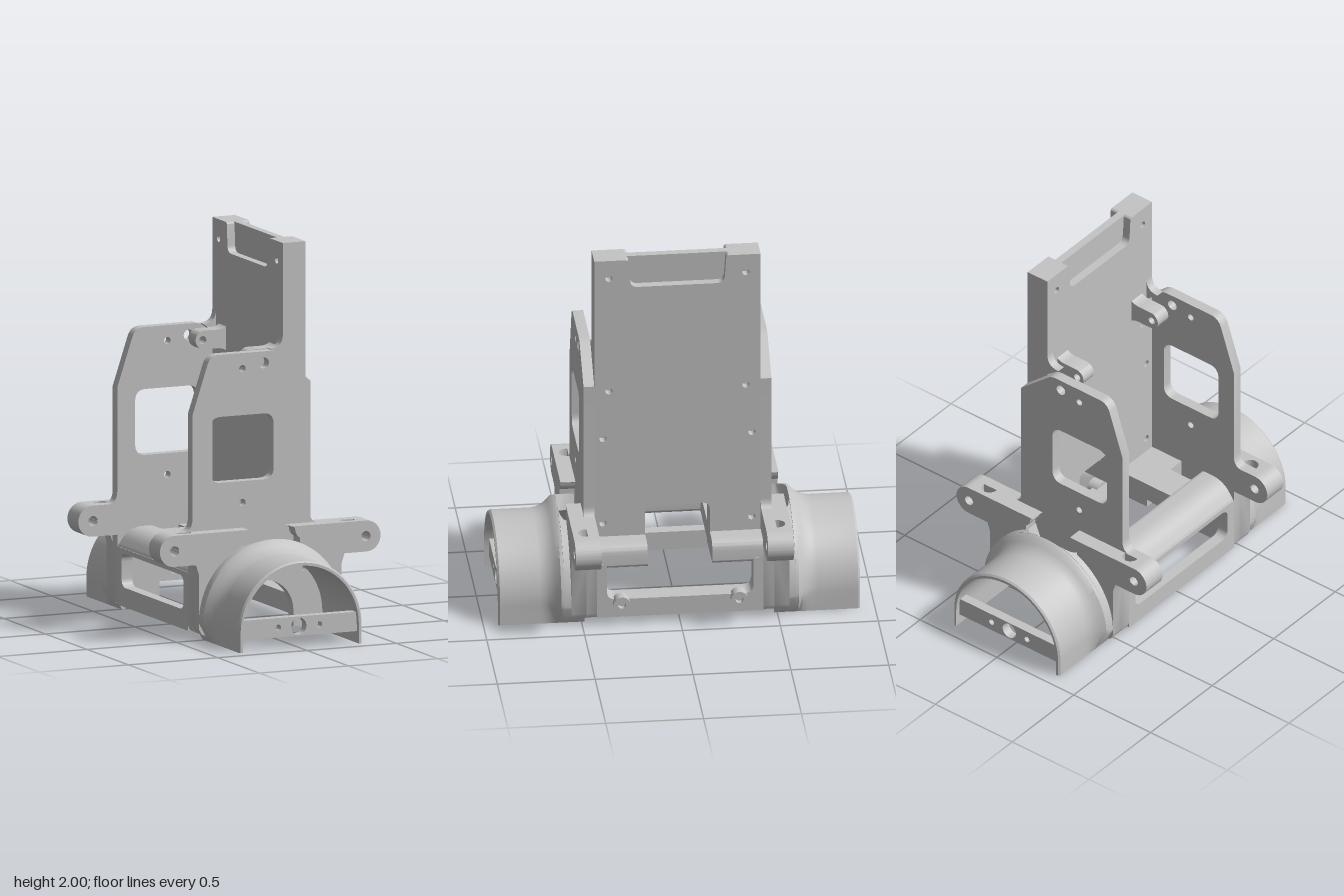
import * as THREE from 'three';
import { toCreasedNormals } from 'three/addons/utils/BufferGeometryUtils.js';

const grey = new THREE.MeshStandardMaterial({ color: 0xc4c4c4 });
grey.name = 'light grey';

// Polygon from [x, y, cornerRadius] points
function poly(pts, Kind = THREE.Shape) {
  const s = new Kind(), n = pts.length;
  pts.forEach(([x, y, r = 0], i) => {
    const toward = ([px, py]) => {
      const d = Math.hypot(px - x, py - y);
      return [x + (px - x) * r / d, y + (py - y) * r / d];
    };
    const a = toward(pts[(i + n - 1) % n]), b = toward(pts[(i + 1) % n]);
    if (i) s.lineTo(...a); else s.moveTo(...a);
    if (r) s.quadraticCurveTo(x, y, ...b);
  });
  s.closePath();
  return s;
}
const rect = (x0, y0, x1, y1, r, Kind) =>
  poly([[x0, y0, r], [x1, y0, r], [x1, y1, r], [x0, y1, r]], Kind);
const hole = (x, y, r) => new THREE.Path().absarc(x, y, r, 0, Math.PI * 2, false);
const withHoles = (s, ...h) => { s.holes.push(...h); return s; };

// Extrusions along z, along x (shape u = -z) and along y (shape v = z)
const alongZ = (s, a, b) =>
  new THREE.ExtrudeGeometry(s, { depth: b - a, bevelEnabled: false, curveSegments: 20 }).translate(0, 0, a);
const alongX = (s, a, b) => alongZ(s, a, b).rotateY(Math.PI / 2);
const alongY = (s, a, b) => alongZ(s, -b, -a).rotateX(Math.PI / 2);

// Mirrored copy with the winding put right
function mirrored(geo, axis) {
  const g = geo.index ? geo.toNonIndexed() : geo.clone();
  g.scale(axis === 'x' ? -1 : 1, 1, axis === 'z' ? -1 : 1);
  const p = g.attributes.position, b = new THREE.Vector3(), c = new THREE.Vector3();
  for (let i = 0; i < p.count; i += 3) {
    b.fromBufferAttribute(p, i + 1); c.fromBufferAttribute(p, i + 2);
    p.setXYZ(i + 1, c.x, c.y, c.z); p.setXYZ(i + 2, b.x, b.y, b.z);
  }
  return g;
}

// Thick arch shell through [z, rx, ry, startAngle] sections; angles run from the crown
const INNER = 0.325, LEG = 2, QUARTER = Math.PI / 2;
const sweep = (a, b, n) => Array.from({ length: n + 1 }, (_, i) => a + (b - a) * i / n);
const arch = (rx, ry, f) => Math.abs(f) > 1.6
  ? [Math.sign(f) * Math.min(rx, 0.345), 0] : [rx * Math.sin(f), 0.1 + ry * Math.cos(f)];
function archShell(sections) {
  const pos = [], idx = [], rings = [];
  for (const [z, rx, ry, start = -QUARTER] of sections) {
    const angles = [...sweep(start, QUARTER, 40), LEG];
    if (start === -QUARTER) angles.unshift(-LEG);
    for (const f of angles) pos.push(...arch(rx, ry, f), z);
    for (const f of [...angles].reverse()) pos.push(...arch(INNER, INNER, f), z);
    rings.push(angles.length);
  }
  const m = rings[0], n = m * 2, last = (sections.length - 1) * n;
  for (let s = 0; s < last; s += n) {
    for (let k = 0; k < n; k++) {
      const a = s + k, b = s + (k + 1) % n;
      idx.push(a, a + n, b, b, a + n, b + n);
    }
  }
  for (let o = 0; o < m - 1; o++) {
    const p = o + 1, i = n - 1 - o, j = n - 2 - o;
    idx.push(last + o, last + i, last + j, last + o, last + j, last + p);
    idx.push(o, j, i, o, p, j);
  }
  const g = new THREE.BufferGeometry();
  g.setAttribute('position', new THREE.Float32BufferAttribute(pos, 3));
  g.setIndex(idx);
  return g;
}

export function createModel() {
  const model = new THREE.Group();
  model.name = 'motorMountFrame';
  // Adds a part and its mirror images across the listed axes
  function add(name, geo, axes = '') {
    let list = [geo];
    for (const ax of axes) list = list.concat(list.map(g => mirrored(g, ax)));
    for (const g of list) {
      const mesh = new THREE.Mesh(toCreasedNormals(g, 0.6), grey);
      mesh.name = name;
      model.add(mesh);
    }
  }

  // Upright plate: a web between two skins with top recess and blind holes
  const upright = (recess) => poly([
    [-0.425, 0.33], [-0.165, 0.33], [-0.165, 0.6, 0.04], [0.165, 0.6, 0.04], [0.165, 0.33], [0.425, 0.33], [0.425, 2],
    ...(recess ? [[0.25, 2, 0.015], [0.24, 1.845, 0.04], [-0.24, 1.845, 0.04], [-0.25, 2, 0.015]] : []),
    [-0.425, 2]]);
  const skin = () => {
    const s = upright(true);
    for (const sz of [-1, 1])
      for (const [z, y] of [[0.35, 1.9], [0.35, 1.26], [0.38, 0.99], [0.38, 0.51]])
        s.holes.push(hole(sz * z, y, 0.018));
    return s;
  };
  add('uprightWeb', alongX(upright(false), 0.175, 0.215));
  add('uprightOuterSkin', alongX(skin(), 0.215, 0.26));
  add('uprightInnerSkin', alongX(skin(), 0.132, 0.175));

  // Side plates, running down into the arched bulkheads
  const side = new THREE.Shape();
  side.moveTo(-0.165, 0.03);
  side.lineTo(-0.165, 0.115);
  side.absarc(0, 0.115, 0.165, Math.PI, 0, true);
  for (const p of [[0.165, 0.03], [0.36, 0.03], [0.39, 0.045], [0.4, 0.07], [0.4, 0.56], [0.3, 0.56]]) side.lineTo(...p);
  side.quadraticCurveTo(0.26, 0.56, 0.26, 0.61);
  side.lineTo(0.26, 1.29);
  side.lineTo(0.08, 1.445);
  side.quadraticCurveTo(0.06, 1.46, 0.03, 1.46);
  side.lineTo(-0.25, 1.46);
  side.quadraticCurveTo(-0.3, 1.46, -0.317, 1.41);
  side.lineTo(-0.4, 1.16);
  side.lineTo(-0.4, 0.63);
  side.quadraticCurveTo(-0.4, 0.56, -0.45, 0.56);
  for (const p of [[-0.4, 0.5], [-0.4, 0.07], [-0.39, 0.045], [-0.36, 0.03]]) side.lineTo(...p);
  withHoles(side, rect(-0.3, 0.8, 0.055, 1.14, 0.06, THREE.Path), hole(-0.12, 1.38, 0.018),
    hole(-0.12, 0.69, 0.018), hole(0, 1.4, 0.028), hole(0.225, 0.33, 0.018), hole(-0.225, 0.33, 0.018));
  add('sidePlate', alongZ(side, 0.425, 0.48), 'z');

  // Fillet between the side plate top and the upright
  const fillet = new THREE.Shape();
  fillet.moveTo(0.06, 1.46);
  fillet.quadraticCurveTo(0.132, 1.46, 0.132, 1.53);
  fillet.lineTo(0.14, 1.4);
  add('uprightFillet', alongZ(fillet, 0.38, 0.425), 'z');

  // Pivot lugs on the inner face of the upright
  const lug = new THREE.Shape();
  lug.moveTo(0.14, 1.33);
  lug.quadraticCurveTo(0.12, 1.352, 0.08, 1.352);
  lug.lineTo(0.01, 1.352);
  lug.absarc(0.01, 1.4, 0.048, -QUARTER, QUARTER, true);
  lug.lineTo(0.08, 1.448);
  lug.quadraticCurveTo(0.12, 1.448, 0.14, 1.47);
  add('pivotLug', alongZ(withHoles(lug, hole(0.002, 1.4, 0.02)), 0.26, 0.345), 'z');

  // Flange halves either side of the top gap
  const flange = new THREE.Shape();
  flange.moveTo(0.167, 0.5);
  flange.quadraticCurveTo(0.145, 0.51, 0.14, 0.54);
  flange.quadraticCurveTo(0.138, 0.56, 0.12, 0.56);
  for (const p of [[0.4, 0.56], [0.4, 0.4], [0.416, 0.4], [0.4, 0.35], [0.4, 0.07], [0.385, 0.04], [0.36, 0.03], [0.335, 0.03], [0.335, 0.1]])
    flange.lineTo(...p);
  flange.absarc(0, 0.1, 0.335, 0, Math.PI / 3, false);
  add('flange', alongZ(flange, 0.48, 0.557), 'zx');

  // Ears: slotted arm and rounded bolt end
  const slot = new THREE.Path();
  slot.moveTo(0.417, 0.482);
  slot.lineTo(0.499, 0.482);
  slot.absarc(0.458, 0.488, 0.041, 0, Math.PI, false);
  add('earArm', alongY(withHoles(rect(0.38, 0.425, 0.503, 0.557, 0), slot), 0.4, 0.56), 'zx');
  const tip = new THREE.Shape();
  tip.moveTo(0.503, 0.4795);
  tip.lineTo(0.503, 0.4);
  tip.absarc(0.538, 0.48, 0.08, -QUARTER, QUARTER, false);
  tip.lineTo(0.503, 0.56);
  tip.lineTo(0.503, 0.4805);
  tip.absarc(0.536, 0.48, 0.026, Math.PI - 0.02, -Math.PI + 0.02, true);
  add('earTip', alongZ(tip, 0.425, 0.557), 'zx');

  // Flared shoulders, open at the crown, and end collars
  add('shoulder', archShell([[0.485, 0.4, 0.41, 0.41], [0.545, 0.4, 0.41, 0.41], [0.57, 0.4, 0.41, 0.36],
    [0.583, 0.4, 0.41, 0.28], [0.59, 0.4, 0.41, 0.18], [0.592, 0.4, 0.41, 0]]), 'zx');
  add('collar', archShell([[0.592, 0.4, 0.41], [0.607, 0.399, 0.405], [0.63, 0.378, 0.38], [0.655, 0.361, 0.364],
    [0.68, 0.35, 0.353], [0.71, 0.345, 0.348], [0.915, 0.345, 0.348], [0.925, 0.337, 0.34]]), 'z');

  // Cross bar in each collar mouth
  add('collarBar', alongZ(withHoles(rect(-0.333, 0.06, 0.333, 0.16, 0),
    hole(0, 0.11, 0.043), hole(0.115, 0.11, 0.016), hole(-0.115, 0.11, 0.016)), 0.85, 0.9), 'z');

  // Left wall with its opening, and the heavy rail above it
  add('leftWall', alongX(withHoles(rect(-0.425, 0.04, 0.425, 0.34, 0),
    rect(-0.375, 0.14, 0.375, 0.315, 0.05, THREE.Path)), -0.4, -0.34));
  add('leftRail', alongZ(poly([[-0.4, 0.315], [-0.185, 0.325, 0.02], [-0.185, 0.435, 0.03],
    [-0.33, 0.435, 0.07], [-0.4, 0.34, 0.02]]), -0.425, 0.425));

  // Right wall, open at the top in the middle, with shoulder blocks
  add('rightWall', alongX(poly([[-0.425, 0.04], [0.425, 0.04], [0.425, 0.34], [0.375, 0.34], [0.375, 0.14, 0.05],
    [-0.375, 0.14, 0.05], [-0.375, 0.34], [-0.425, 0.34]]), 0.285, 0.39));
  add('rightBlock', alongZ(poly([[0.132, 0.315], [0.39, 0.315, 0.02], [0.38, 0.435, 0.05], [0.132, 0.435]]), 0.165, 0.425), 'z');

  // Cross beams and corner blocks between the rails
  add('crossBeam', alongY(rect(-0.21, 0.165, 0.2, 0.335, 0), 0.33, 0.43), 'z');
  add('cornerBlock', alongY(rect(-0.06, 0.32, 0.2, 0.435, 0.02), 0.33, 0.43), 'z');

  // Screw bosses on the lower right rail
  add('screwBoss', alongX(withHoles(new THREE.Shape().absarc(-0.3, 0.12, 0.043, 0, Math.PI * 2, false),
    hole(-0.3, 0.12, 0.02)), 0.36, 0.42), 'z');

  return model;
}
